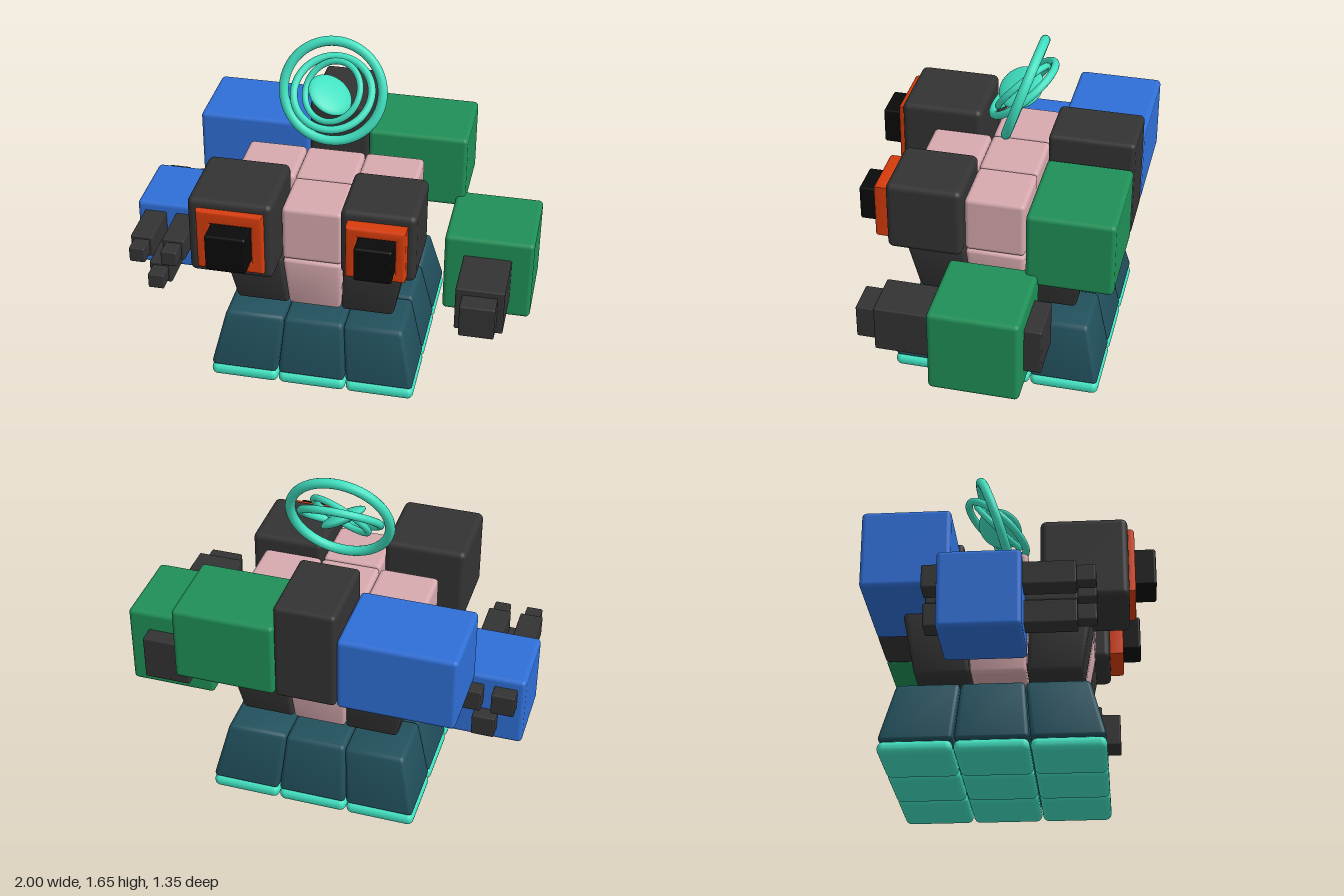
import * as THREE from 'three';
import { RoundedBoxGeometry } from 'three/addons/geometries/RoundedBoxGeometry.js';
import { toCreasedNormals } from 'three/addons/utils/BufferGeometryUtils.js';

const mat = (color) => new THREE.MeshStandardMaterial({ color });
const DARK = mat(0x333333), BLACK = mat(0x0a0a0a), PINK = mat(0xd6a9ae), TEAL = mat(0x22515e);
const MINT = mat(0x40e0c0), BLUE = mat(0x2f6fd6), GREEN = mat(0x1f8f57), ORANGE = mat(0xd63c0c);

function add(parent, name, geometry, material) {
  const mesh = new THREE.Mesh(geometry, material);
  mesh.name = name;
  parent.add(mesh);
  return mesh;
}

function group(parent, name) {
  const g = new THREE.Group();
  g.name = name;
  parent.add(g);
  return g;
}

// Rounded block given by its extents along each axis
function block(parent, name, material, [x0, x1], [y0, y1], [z0, z1], radius = 0.022) {
  const geo = new RoundedBoxGeometry(x1 - x0, y1 - y0, z1 - z0, 3, radius);
  const mesh = add(parent, name, geo, material);
  mesh.position.set((x0 + x1) / 2, (y0 + y1) / 2, (z0 + z1) / 2);
  return mesh;
}

// 3 x 3 layer of blocks whose half width runs from halfBottom to halfTop
function tileLayer(parent, name, cx, cz, [y0, y1], halfBottom, halfTop, pick, radius = 0.022) {
  const layer = group(parent, name);
  layer.position.set(cx, 0, cz);
  const half = Math.max(halfBottom, halfTop), pitch = (2 * half) / 3;
  for (let i = -1; i <= 1; i++) {
    for (let j = -1; j <= 1; j++) {
      const material = pick(i, j);
      if (!material) continue;
      let geo = new RoundedBoxGeometry(pitch - 0.004, y1 - y0, pitch - 0.004, 3, radius);
      geo.translate(i * pitch, (y0 + y1) / 2, j * pitch);
      if (halfBottom !== halfTop) {
        const p = geo.attributes.position;
        for (let k = 0; k < p.count; k++) {
          const t = (p.getY(k) - y0) / (y1 - y0);
          const s = THREE.MathUtils.lerp(halfBottom, halfTop, t) / half;
          p.setX(k, p.getX(k) * s);
          p.setZ(k, p.getZ(k) * s);
        }
        geo = toCreasedNormals(geo, 0.7);
      }
      add(layer, name + 'Block', geo, material);
    }
  }
}

// Eye: housing, square rim with a hole, protruding pupil
function eye(parent, name, [x0, x1], [y0, y1], [z0, z1], rimEnd, pupilEnd, rim, hole) {
  const g = group(parent, name);
  block(g, 'eyeHousing', DARK, [x0, x1], [y0, y1], [z0, z1], 0.03);
  const bevel = 0.014;
  const rect = (target, [a, b, c, d], inset) => {
    target.moveTo(a + inset, c + inset);
    target.lineTo(b - inset, c + inset);
    target.lineTo(b - inset, d - inset);
    target.lineTo(a + inset, d - inset);
    target.closePath();
    return target;
  };
  const shape = rect(new THREE.Shape(), rim, bevel);
  shape.holes.push(rect(new THREE.Path(), hole, -bevel));
  const start = z1 - 0.03;
  const geo = new THREE.ExtrudeGeometry(shape, {
    depth: rimEnd - start - 2 * bevel, bevelEnabled: true,
    bevelSize: bevel, bevelThickness: bevel, bevelSegments: 3,
  });
  geo.translate(0, 0, start + bevel);
  add(g, 'eyeRim', toCreasedNormals(geo, 0.7), ORANGE);
  block(g, 'pupil', BLACK, [hole[0], hole[1]], [hole[2], hole[3]], [z1 - 0.05, pupilEnd], 0.012);
}

// Square peg through a hand, with a thinner tip at the front
function peg(parent, cx, cy, size, tip, z0, z1, z2) {
  const span = (c, s) => [c - s / 2, c + s / 2];
  block(parent, 'peg', DARK, span(cx, size), span(cy, size), [z0, z1], 0.008);
  block(parent, 'pegTip', DARK, span(cx, tip), span(cy, tip), [z1 - 0.05, z2], 0.008);
}

// Ring or disc facing along a normal
function face(mesh, normal, position) {
  mesh.quaternion.setFromUnitVectors(new THREE.Vector3(0, 0, 1), new THREE.Vector3(...normal).normalize());
  mesh.position.set(...position);
}

export function createModel() {
  const model = new THREE.Group();
  model.name = 'blockRobot';
  const CX = -0.036;

  // Floating base with glowing pads
  tileLayer(model, 'basePad', CX, -0.088, [0, 0.064], 0.516, 0.516, () => MINT, 0.03);
  tileLayer(model, 'base', CX, -0.088, [0.065, 0.36], 0.516, 0.445, () => TEAL);

  // Torso: tapered lower layer, then the upper layer
  tileLayer(model, 'lowerTorso', CX, -0.07, [0.43, 0.725], 0.39, 0.445, (i, j) => (i && j ? DARK : PINK));
  tileLayer(model, 'upperTorso', CX, -0.07, [0.73, 1.02], 0.445, 0.445,
    (i, j) => (j === 0 || (j === 1 && i === 0) ? PINK : null));

  // Back packs
  block(model, 'rightBackBlock', BLUE, [-0.75, -0.187], [0.73, 1.115], [-0.677, -0.262]);
  block(model, 'middleBackBlock', DARK, [-0.184, 0.112], [0.73, 1.24], [-0.677, -0.262]);
  block(model, 'leftBackBlock', GREEN, [0.115, 0.61], [0.73, 1.115], [-0.677, -0.262]);

  // Eyes
  eye(model, 'rightEye', [-0.59, -0.185], [0.725, 1.13], [0.138, 0.545], 0.575, 0.673,
    [-0.543, -0.222, 0.77, 1.088], [-0.475, -0.28, 0.832, 1.02]);
  eye(model, 'leftEye', [0.115, 0.475], [0.73, 1.09], [0.075, 0.442], 0.51, 0.597,
    [0.152, 0.436, 0.769, 1.045], [0.209, 0.388, 0.817, 0.995]);

  // Right hand with three pegs
  const rightHand = group(model, 'rightHand');
  block(rightHand, 'palm', BLUE, [-1, -0.63], [0.4, 0.768], [-0.295, 0.08]);
  for (const [x, y] of [[-0.907, 0.665], [-0.746, 0.665], [-0.82, 0.52]]) {
    peg(rightHand, x, y, 0.112, 0.08, -0.365, 0.315, 0.4);
  }

  // Left hand with one large peg
  const leftHand = group(model, 'leftHand');
  block(leftHand, 'palm', GREEN, [0.564, 1], [0.36, 0.789], [-0.322, 0.108]);
  peg(leftHand, 0.778, 0.574, 0.235, 0.17, -0.403, 0.387, 0.483);

  // Floating halo of rings around a flattened core
  const halo = group(model, 'halo');
  const rings = [
    [0.243, 0.024, [0, 0.32, 0.95], [CX, 1.4, -0.118]],
    [0.19, 0.019, [0, 0.762, 0.648], [CX, 1.395, -0.11]],
    [0.15, 0.016, [-0.32, 0.6, 0.7], [CX, 1.405, -0.105]],
  ];
  for (const [r, tube, normal, position] of rings) {
    face(add(halo, 'haloRing', new THREE.TorusGeometry(r, tube, 14, 64), MINT), normal, position);
  }
  const core = new THREE.SphereGeometry(0.115, 32, 20).scale(1, 1, 0.26);
  face(add(halo, 'haloCore', core, MINT), [0.5, 0.8, 0.28], [-0.045, 1.39, -0.095]);

  return model;
}
